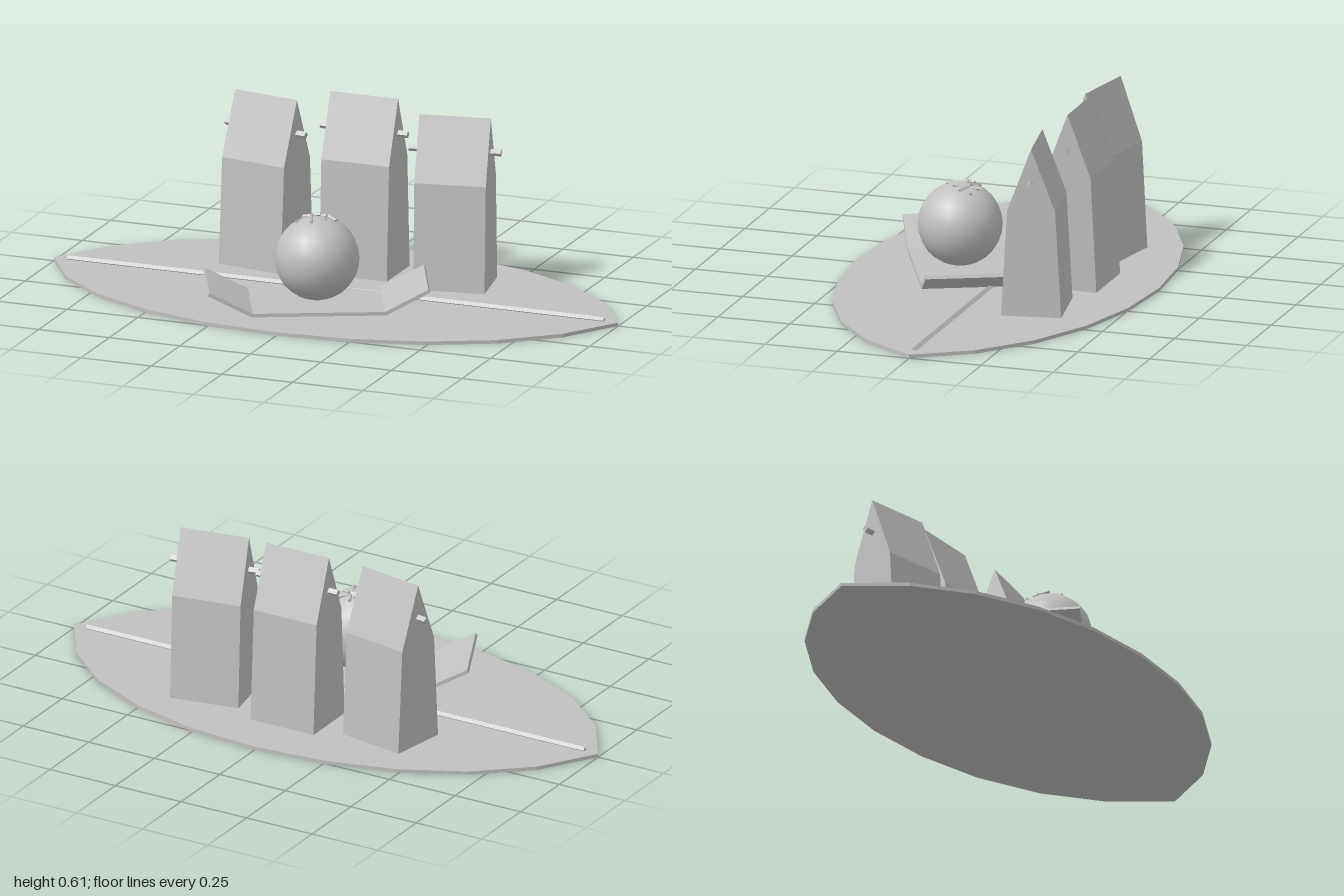
import * as THREE from 'three';

const PLATE = 0.012;

export function createModel() {
  const model = new THREE.Group();
  const grey = new THREE.MeshStandardMaterial({ color: 0xc0c0c0 });
  grey.name = 'grey';

  const add = (parent, name, geometry) => {
    const mesh = new THREE.Mesh(geometry, grey);
    mesh.name = name;
    parent.add(mesh);
    return mesh;
  };

  // Extrude a side profile, centred along its depth
  const slab = (points, depth) => {
    const shape = new THREE.Shape(points.map(([x, y]) => new THREE.Vector2(x, y)));
    return new THREE.ExtrudeGeometry(shape, { depth, bevelEnabled: false }).translate(0, 0, -depth / 2);
  };

  // Four-sided flat-shaded rod along x, standing on an edge
  const rod = (length, radius) => {
    const g = new THREE.CylinderGeometry(radius, radius, length, 4).rotateZ(Math.PI / 2).toNonIndexed();
    g.computeVertexNormals();
    return g;
  };

  // Leaf-shaped base plate
  const leaf = new THREE.Shape();
  leaf.moveTo(-1, 0);
  leaf.bezierCurveTo(-0.7, 0.7, 0.7, 0.7, 1, 0);
  leaf.bezierCurveTo(0.7, -0.7, -0.7, -0.7, -1, 0);
  add(model, 'leafBase', new THREE.ExtrudeGeometry(leaf, {
    depth: PLATE, bevelEnabled: false, curveSegments: 10,
  }).rotateX(-Math.PI / 2));

  // Central vein along the leaf
  add(model, 'leafVein', rod(1.9, 0.01)).position.y = 0.015;

  // Three pointed towers, each with a peg through it
  const towers = [
    { name: 'centreTower', x: 0, z: -0.248, turn: 0, height: 0.6, shoulder: 0.388, peg: 0.481 },
    { name: 'rightTower', x: -0.335, z: -0.215, turn: -0.175, height: 0.573, shoulder: 0.36, peg: 0.457 },
    { name: 'leftTower', x: 0.335, z: -0.215, turn: 0.175, height: 0.573, shoulder: 0.36, peg: 0.457 },
  ];
  for (const t of towers) {
    const tower = new THREE.Group();
    tower.name = t.name;
    const profile = [[-0.1, 0], [0.1, 0], [0.08, t.shoulder], [0, t.height], [-0.08, t.shoulder]];
    add(tower, 'towerBody', slab(profile, 0.24).rotateY(Math.PI / 2));
    add(tower, 'towerPeg', rod(0.31, 0.012)).position.y = t.peg;
    tower.position.set(t.x, PLATE, t.z);
    tower.rotation.y = t.turn;
    model.add(tower);
  }

  // Tray with upturned ends
  const tray = add(model, 'tray', slab([
    [-0.222, 0], [0.222, 0], [0.366, 0.075], [0.36, 0.086],
    [0.218, 0.012], [-0.218, 0.012], [-0.36, 0.086], [-0.366, 0.075],
  ], 0.295));
  tray.position.set(0, PLATE, 0.17);
  tray.rotation.y = THREE.MathUtils.degToRad(25);

  // Round fruit resting on the tray
  add(model, 'fruit', new THREE.SphereGeometry(0.14, 20, 14)).position.set(0, 0.168, 0.166);

  // Loose twigs on top of the fruit: start x, z and end x, z
  const twigs = [
    [-0.07, 0.12, 0.02, 0.13], [-0.045, 0.13, -0.06, 0.2], [-0.03, 0.135, 0.0, 0.215],
    [0.005, 0.095, 0.035, 0.18], [0.055, 0.11, -0.03, 0.15], [-0.055, 0.155, 0.0, 0.14],
    [0.025, 0.13, 0.06, 0.15],
  ];
  const up = new THREE.Vector3(1, 0, 0);
  const onFruit = (x, z) =>
    new THREE.Vector3(x, 0.172 + Math.sqrt(0.0196 - x * x - (z - 0.166) ** 2), z);
  for (const [x1, z1, x2, z2] of twigs) {
    const a = onFruit(x1, z1), b = onFruit(x2, z2);
    const twig = add(model, 'twig', rod(a.distanceTo(b), 0.006));
    twig.position.copy(a).add(b).multiplyScalar(0.5);
    twig.quaternion.setFromUnitVectors(up, b.sub(a).normalize());
  }

  return model;
}
